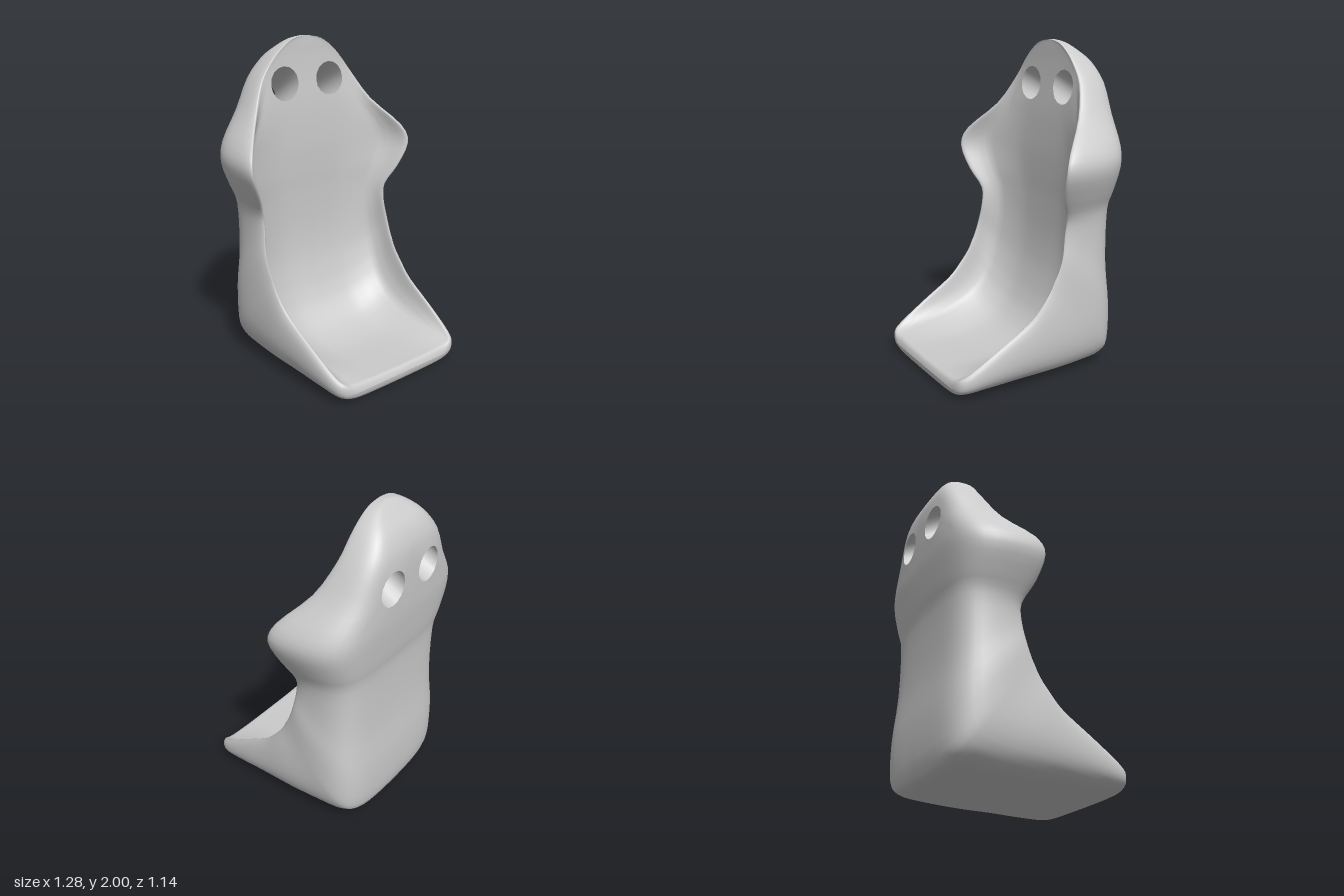
import * as THREE from 'three';
import { mergeVertices } from 'three/addons/utils/BufferGeometryUtils.js';

// Seat stations, fanning from the front lip round the rear corner:
// [outer z, y,  inner z, y,  rim z, y,  half width]
const SEAT = [
  [0.568, 0.06, 0.568, 0.06, 0.568, 0.06, 0.38],
  [0.555, 0.015, 0.55, 0.098, 0.555, 0.12, 0.455],
  [0.5, 0.005, 0.5, 0.1, 0.49, 0.165, 0.5],
  [0.36, 0, 0.36, 0.1, 0.31, 0.28, 0.525],
  [0.15, 0, 0.14, 0.105, 0.12, 0.4, 0.54],
  [-0.1, 0, -0.05, 0.155, 0.03, 0.49, 0.55],
  [-0.35, 0.01, -0.16, 0.25, -0.03, 0.57, 0.55],
  [-0.49, 0.03, -0.215, 0.345, -0.06, 0.63, 0.55],
  [-0.545, 0.1, -0.25, 0.44, -0.085, 0.68, 0.55],
  [-0.55, 0.35, -0.285, 0.58, -0.115, 0.77, 0.545],
  [-0.525, 0.65, -0.305, 0.77, -0.135, 0.89, 0.525],
];

// Level stations of the backrest: [y, outer z, inner z, rim z, half width]
const BACK = [
  [1.0, -0.523, -0.307, -0.14, 0.53],
  [1.13, -0.54, -0.303, -0.08, 0.585],
  [1.28, -0.557, -0.3, -0.05, 0.64],
  [1.4, -0.567, -0.302, -0.09, 0.61],
  [1.57, -0.57, -0.31, -0.24, 0.47],
  [1.75, -0.565, -0.328, -0.32, 0.36],
  [1.87, -0.52, -0.337, -0.334, 0.265],
  [1.94, -0.455, -0.34, -0.337, 0.185],
  [1.985, -0.405, -0.342, -0.338, 0.1],
  [2.0, -0.375, -0.342, -0.34, 0],
];
const STATIONS = SEAT.concat(BACK.map(([y, outer, inner, rim, w]) => [outer, y, inner, y, rim, y, w]));
const SHOULDER = SEAT.length + 2, HEAD = SEAT.length + 4;

// Half cross-section [part of half width, part of depth]: outer skin, rim, inner skin
const SECTION = [
  [0, 0], [0.25, 0.003], [0.5, 0.015], [0.69, 0.045], [0.83, 0.115], [0.925, 0.26], [0.98, 0.48], [1, 0.75], [0.995, 0.92],
  [0.972, 1],
  [0.948, 0.96], [0.925, 0.84], [0.89, 0.64], [0.84, 0.45], [0.76, 0.28], [0.48, 0.05], [0.22, 0.005], [0, 0],
];
const RIM = 9, LAST = SECTION.length - 1;
const COL_STEPS = 2, ROW_STEPS = 3;

// Catmull-Rom interpolation of a table row
function sample(table, t) {
  const n = table.length - 1;
  const i = Math.min(Math.floor(t), n - 1), f = t - i;
  const [a, b, c, d] = [Math.max(i - 1, 0), i, i + 1, Math.min(i + 2, n)].map(k => table[k]);
  return b.map((v, k) => v + 0.5 * f * (c[k] - a[k]
    + f * (2 * a[k] - 5 * v + 4 * c[k] - d[k] + f * (3 * (v - c[k]) + d[k] - a[k]))));
}

// Point of the shell at section parameter c and station parameter r
function shellPoint(c, r) {
  const [oz, oy, iz, iy, rz, ry, w] = sample(STATIONS, r);
  const [s, h] = sample(SECTION, c);
  const [z, y] = c <= RIM ? [oz, oy] : [iz, iy];
  // below the shoulders the side walls lean in towards the rim
  const taper = 0.06 * Math.sin(Math.PI * Math.min(r / SHOULDER, 1));
  return new THREE.Vector3(s * w * (1 - taper * h * h), y + (ry - y) * h, z + (rz - z) * h);
}

// Find where a monotonic function reaches a target
function solve(fn, lo, hi, target) {
  const rising = fn(hi) > fn(lo);
  for (let k = 0; k < 40; k++) {
    const mid = (lo + hi) / 2;
    if ((fn(mid) < target) === rising) lo = mid; else hi = mid;
  }
  return (lo + hi) / 2;
}

// Harness holes: a 4 x 4 block of cells per skin whose border is moved onto a circle
const HOLE_X = 0.175, HOLE_R = 0.105;
const HOLES = [
  { col: 1, row: HEAD * ROW_STEPS - 2, y: 1.59, lo: 0, hi: 4 },
  { col: (LAST - 3) * COL_STEPS, row: HEAD * ROW_STEPS + 1, y: 1.722, lo: LAST - 4, hi: LAST },
];

// Border of a block in order, as [column, row] offsets
const BORDER = [];
for (let k = 0; k < 4; k++) BORDER.push([k, 0]);
for (let k = 0; k < 4; k++) BORDER.push([4, k]);
for (let k = 4; k > 0; k--) BORDER.push([k, 4]);
for (let k = 4; k > 0; k--) BORDER.push([0, k]);

function holeRing(hole) {
  const inner = hole.lo > RIM;
  return BORDER.map((_, k) => {
    const a = -0.75 * Math.PI + k * Math.PI / 8;
    // the inner skin runs towards the centre, so its columns go the other way
    const x = HOLE_X + HOLE_R * Math.cos(a) * (inner ? -1 : 1);
    const y = hole.y + HOLE_R * Math.sin(a);
    const r = solve(t => shellPoint(hole.lo, t).y, SHOULDER, HEAD + 4, y);
    const c = solve(t => shellPoint(t, r).x, hole.lo, hole.hi, x);
    return shellPoint(c, r);
  });
}

function makeGeometry(positions, indices) {
  const g = new THREE.BufferGeometry();
  g.setAttribute('position', new THREE.Float32BufferAttribute(positions, 3));
  g.setIndex(indices);
  const merged = mergeVertices(g, 1e-5);
  merged.computeVertexNormals();
  return merged;
}

export function createModel() {
  const group = new THREE.Group();
  const material = new THREE.MeshStandardMaterial({ color: 0xcccccc });
  const cols = LAST * COL_STEPS, rows = (STATIONS.length - 1) * ROW_STEPS;

  // Half grid of the shell
  const grid = [];
  for (let j = 0; j <= rows; j++) {
    grid.push([]);
    for (let i = 0; i <= cols; i++) grid[j].push(shellPoint(i / COL_STEPS, j / ROW_STEPS));
  }
  const rings = HOLES.map(holeRing);
  HOLES.forEach((h, n) => BORDER.forEach(([di, dj], k) => { grid[h.row + dj][h.col + di] = rings[n][k]; }));
  const isOpen = (i, j) => HOLES.some(h => i >= h.col && i < h.col + 4 && j >= h.row && j < h.row + 4);

  // Both mirrored halves in one smooth skin
  const positions = [], indices = [];
  for (const side of [1, -1]) {
    const base = positions.length / 3;
    for (const row of grid) for (const p of row) positions.push(side * p.x, p.y, p.z);
    for (let j = 0; j < rows; j++) for (let i = 0; i < cols; i++) {
      if (isOpen(i, j)) continue;
      const a = base + j * (cols + 1) + i, b = a + cols + 1;
      if (side > 0) indices.push(a, b, a + 1, a + 1, b, b + 1);
      else indices.push(a, a + 1, b, a + 1, b + 1, b);
    }
  }
  const shell = new THREE.Mesh(makeGeometry(positions, indices), material);
  shell.name = 'seatShell';
  group.add(shell);

  // Walls of the two harness holes
  const wallMaterial = material.clone();
  wallMaterial.side = THREE.DoubleSide;
  const n = BORDER.length;
  // reorder the inner ring so both rings run round the same way
  const back = rings[0], front = back.map((_, k) => rings[1][(n + 4 - k) % n]);
  for (const side of [1, -1]) {
    const pos = [], idx = [];
    for (const p of [...back, ...front]) pos.push(side * p.x, p.y, p.z);
    for (let k = 0; k < n; k++) {
      const m = (k + 1) % n;
      if (side > 0) idx.push(k, n + k, m, m, n + k, n + m);
      else idx.push(k, m, n + k, m, n + m, n + k);
    }
    const wall = new THREE.Mesh(makeGeometry(pos, idx), wallMaterial);
    wall.name = side > 0 ? 'leftHarnessHole' : 'rightHarnessHole';
    group.add(wall);
  }
  return group;
}
